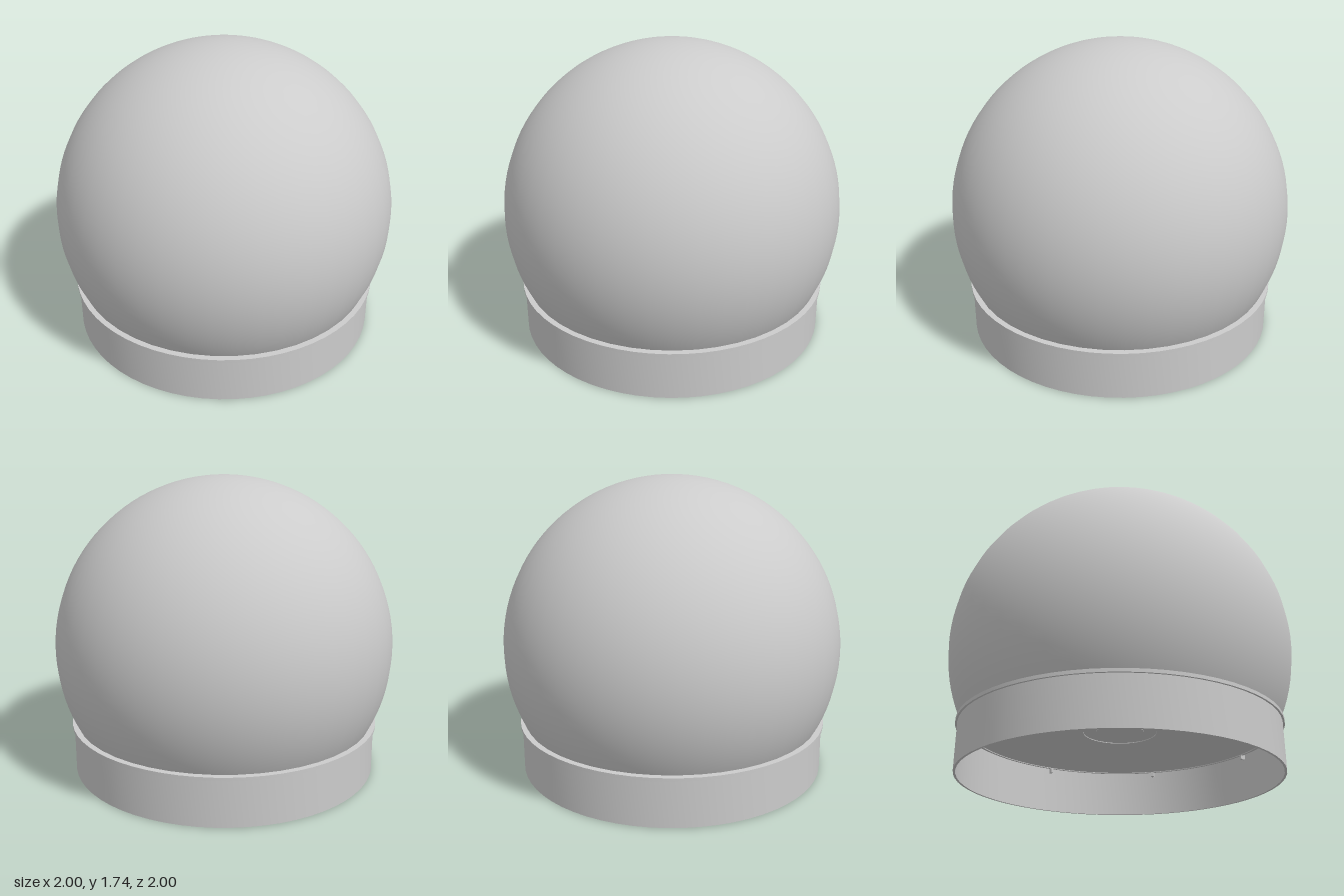
import * as THREE from 'three';
import { toCreasedNormals } from 'three/addons/utils/BufferGeometryUtils.js';

const SEGMENTS = 64;
const material = new THREE.MeshStandardMaterial({ color: 0xcccccc });

// Turned part from [radius, height] pairs, with crisp edges
function turned(name, profile) {
  const points = profile.map(([r, y]) => new THREE.Vector2(r, y));
  const geometry = toCreasedNormals(new THREE.LatheGeometry(points, SEGMENTS), 0.6);
  const mesh = new THREE.Mesh(geometry, material);
  mesh.name = name;
  return mesh;
}

export function createModel() {
  const group = new THREE.Group();
  group.name = 'globeOnBase';

  // Globe: sphere cut off where it meets the base
  const cutAngle = Math.acos((0.275 - 0.74) / 1);
  const globe = new THREE.Mesh(
    new THREE.SphereGeometry(1, 48, 36, 0, Math.PI * 2, 0, cutAngle),
    material
  );
  globe.name = 'globe';
  globe.position.y = 0.74;
  group.add(globe);

  // Base: thin hollow wall with a small projecting lip on top
  group.add(turned('baseRing', [
    [0.9, 0], [0.913, 0], [0.913, 0.268], [0.924, 0.268],
    [0.924, 0.287], [0.87, 0.287], [0.87, 0.277], [0.9, 0.277], [0.9, 0],
  ]));

  // Floor: recessed plate closing the globe, with a shallow round groove
  group.add(turned('floorPlate', [
    [0, 0.274], [0.137, 0.274], [0.137, 0.278], [0.21, 0.278],
    [0.21, 0.274], [0.87, 0.274], [0.87, 0.27], [0.885, 0.27],
    [0.885, 0.284], [0, 0.284],
  ]));

  // Small clips around the edge of the floor
  const clipGeometry = new THREE.BoxGeometry(0.03, 0.03, 0.016);
  for (let i = 0; i < 8; i++) {
    const angle = (i * Math.PI) / 4;
    const clip = new THREE.Mesh(clipGeometry, material);
    clip.name = 'clip';
    clip.position.set(Math.cos(angle) * 0.885, 0.26, Math.sin(angle) * 0.885);
    clip.rotation.y = -angle;
    group.add(clip);
  }
  return group;
}
